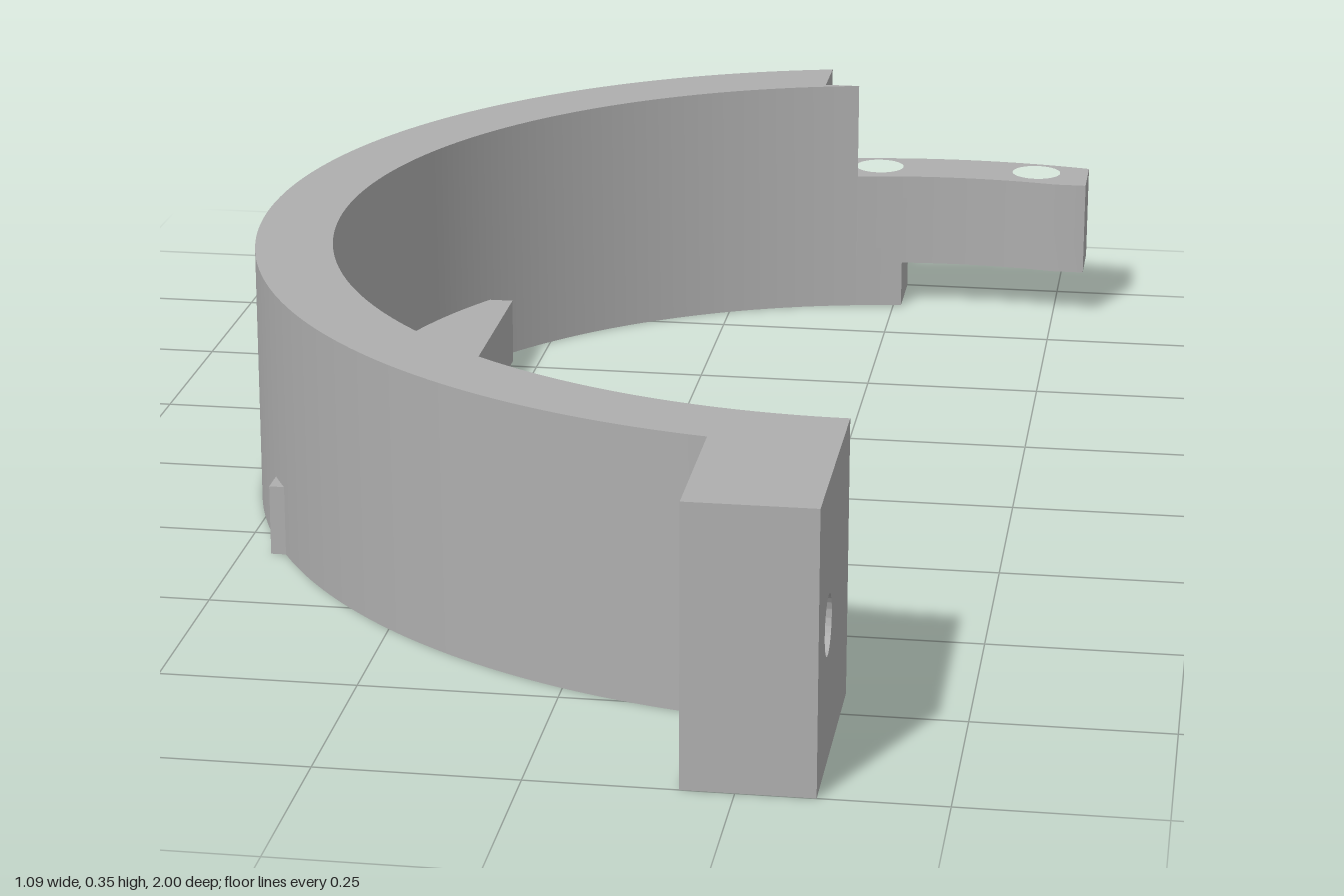
import * as THREE from 'three';
import { toCreasedNormals } from 'three/addons/utils/BufferGeometryUtils.js';

// Plan coordinates: x and v = -z
const CX = 0.345, CV = 0.105, OUTER = 0.895, INNER = 0.79;
const HEIGHT = 0.355, CUT = 0.88, CUT_X = 0.14, HOLE = 0.037;
const HOLES_X = [0.22, 0.465];

// Angle on the back half of a circle at a given x
const angleAt = (r, x) => Math.acos((x - CX) / r);
// Distance in x from the centre where the inner circle meets the flat cut
const FLAT = Math.sqrt(INNER ** 2 - (CUT - CV) ** 2);

function addHole(shape, x, y) {
  shape.holes.push(new THREE.Path().absarc(x, y, HOLE, 0, Math.PI * 2, true));
}

function extrude(shape, depth) {
  return new THREE.ExtrudeGeometry(shape, { depth, bevelEnabled: false, curveSegments: 72 });
}

// Plan shape raised from y0 to y1
function slab(shape, y0, y1) {
  return extrude(shape, y1 - y0).rotateX(-Math.PI / 2).translate(0, y0, 0);
}

export function createModel() {
  const group = new THREE.Group();
  const grey = new THREE.MeshStandardMaterial({ color: 0xaeaeae });
  grey.name = 'grey';

  const add = (name, geometry) => {
    const mesh = new THREE.Mesh(toCreasedNormals(geometry, 0.5), grey);
    mesh.name = name;
    group.add(mesh);
  };

  // Half ring with a notched back end
  const ring = new THREE.Shape();
  ring.absarc(CX, CV, OUTER, Math.PI * 1.5, angleAt(OUTER, CUT_X), true);
  ring.lineTo(CUT_X, CUT);
  ring.absarc(CX, CV, INNER, angleAt(INNER, CX - FLAT), Math.PI * 1.5, false);
  ring.closePath();
  add('halfRing', slab(ring, 0, HEIGHT));

  // Thin curved tongue with two screw holes
  const tongue = new THREE.Shape();
  tongue.absarc(CX, CV, OUTER, angleAt(OUTER, CUT_X), angleAt(OUTER, 0.545), true);
  tongue.lineTo(0.545, CUT);
  tongue.absarc(CX, CV, INNER, angleAt(INNER, CX + FLAT), angleAt(INNER, CX - FLAT), false);
  tongue.lineTo(CUT_X, CUT);
  tongue.closePath();
  HOLES_X.forEach((x) => addHole(tongue, x, 0.945));
  add('tongue', slab(tongue, 0.07, 0.21));

  // Short step under the tongue, sharing the first hole
  const step = new THREE.Shape();
  step.absarc(CX, CV, OUTER, angleAt(OUTER, CUT_X), angleAt(OUTER, 0.262), true);
  step.absarc(CX, CV, INNER, angleAt(INNER, 0.262), angleAt(INNER, CX - FLAT), false);
  step.lineTo(CUT_X, CUT);
  step.closePath();
  addHole(step, HOLES_X[0], 0.945);
  add('tongueStep', slab(step, 0, 0.07));

  // Front clamping lug, drilled sideways
  const lug = new THREE.Shape();
  lug.moveTo(0.74, 0).lineTo(1, 0).lineTo(1, HEIGHT).lineTo(0.74, HEIGHT).closePath();
  addHole(lug, 0.9, 0.175);
  add('clampLug', extrude(lug, 0.16).rotateY(-Math.PI / 2).translate(CX, 0, 0));

  // Flat bar across the inside of the ring
  add('crossBar', new THREE.BoxGeometry(0.17, 0.095, 0.85).translate(-0.375, 0.0475, -0.1));

  return group;
}
